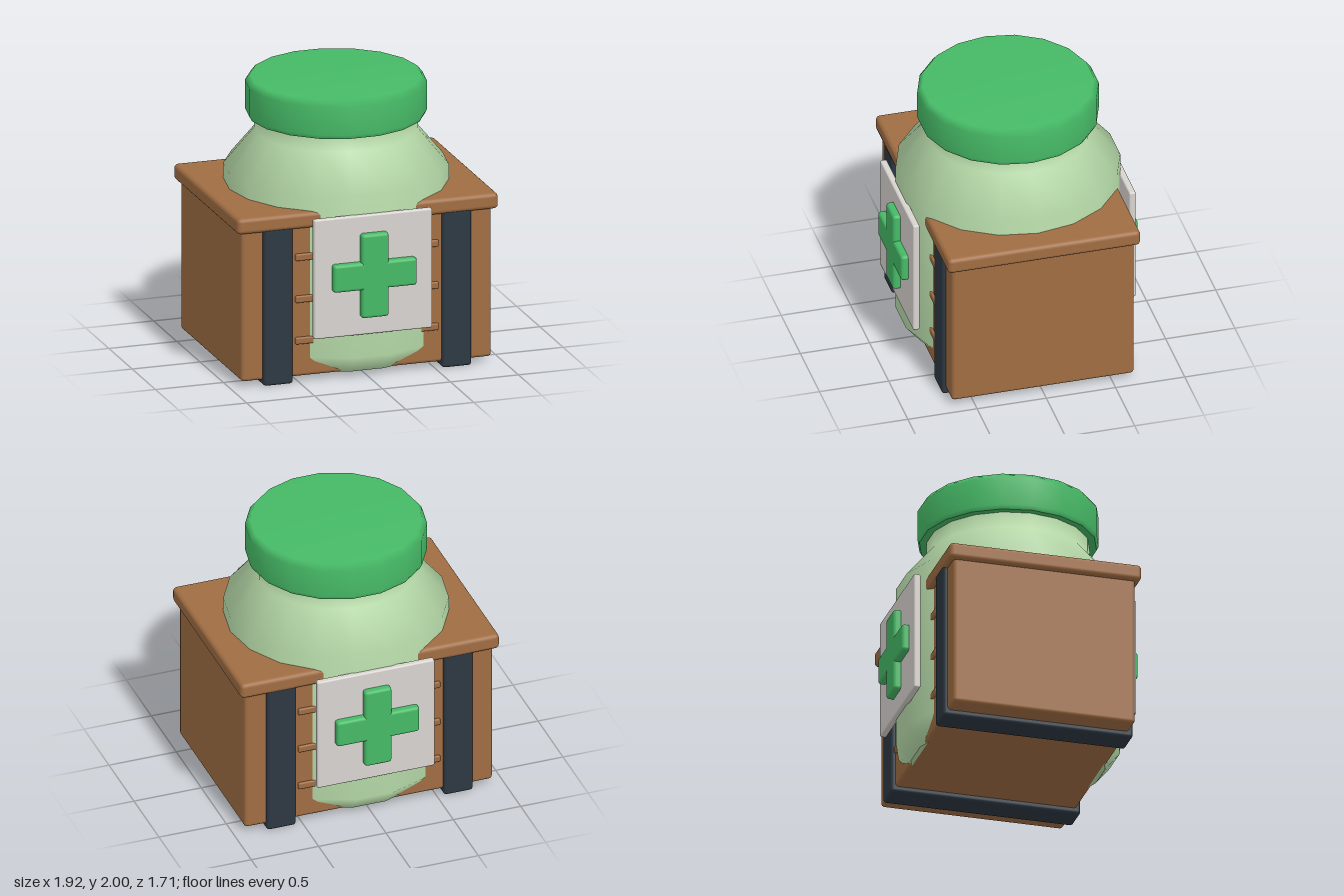
import * as THREE from 'three';
import { RoundedBoxGeometry } from 'three/addons/geometries/RoundedBoxGeometry.js';

const mat = (name, color) => {
  const m = new THREE.MeshStandardMaterial({ color });
  m.name = name;
  return m;
};

export function createModel() {
  const wood = mat('brown wood', 0xa06d42);
  const strapDark = mat('dark strap', 0x2d3843);
  const green = mat('green', 0x46ba66);
  const glass = mat('pale green', 0xb8dcaa);
  const plateWhite = mat('off white', 0xd8d4d0);

  const model = new THREE.Group();
  model.name = 'crateWithJar';

  // Rounded box given by its min and max corners
  const block = (name, material, [x0, y0, z0], [x1, y1, z1], radius, parent = model) => {
    const mesh = new THREE.Mesh(
      new RoundedBoxGeometry(x1 - x0, y1 - y0, z1 - z0, 2, radius), material);
    mesh.position.set((x0 + x1) / 2, (y0 + y1) / 2, (z0 + z1) / 2);
    mesh.name = name;
    parent.add(mesh);
  };

  // 18-sided turned part; a repeated point keeps an edge sharp
  const turned = (name, material, profile) => {
    const points = profile.map(([r, y]) => new THREE.Vector2(r, y));
    const mesh = new THREE.Mesh(new THREE.LatheGeometry(points, 18, Math.PI / 2), material);
    mesh.name = name;
    model.add(mesh);
  };

  // Crate and its rim
  block('crateBody', wood, [-0.92, 0.04, -0.658], [0.92, 1.2, 0.658], 0.025);
  block('crateRim', wood, [-0.96, 1.125, -0.695], [0.96, 1.24, 0.695], 0.03);

  // Straps wrapping front, bottom and back
  for (const s of [-1, 1]) {
    block('strap', strapDark, [s * 0.657 - 0.108, 0, -0.687], [s * 0.657 + 0.108, 1.18, 0.687], 0.022);
  }

  // Thin slats either side of the jar
  for (const y of [0.303, 0.606, 0.912]) {
    block('slat', wood, [-0.527, y - 0.025, -0.676], [0.527, y + 0.025, 0.676], 0.01);
  }

  // Jar body, shoulder and neck
  turned('jar', glass, [
    [0, 0.041], [0.68, 0.041], [0.68, 0.041], [0.785, 0.17], [0.785, 1.35], [0.57, 1.61], [0.57, 1.76],
  ]);

  // Lid with bevelled edges
  turned('lid', green, [
    [0.5, 1.72], [0.62, 1.72], [0.62, 1.72], [0.635, 1.75], [0.635, 1.955], [0.6, 2], [0, 2],
  ]);

  // Label plate with raised cross, front and back
  for (const angle of [0, Math.PI]) {
    const label = new THREE.Group();
    label.name = angle ? 'backLabel' : 'frontLabel';
    label.rotation.y = angle;
    block('labelPlate', plateWhite, [-0.435, 0.345, 0.757], [0.435, 1.215, 0.805], 0.012, label);
    block('crossUpright', green, [-0.1, 0.477, 0.78], [0.1, 1.087, 0.857], 0.022, label);
    block('crossBar', green, [-0.307, 0.683, 0.78], [0.307, 0.882, 0.856], 0.022, label);
    model.add(label);
  }

  return model;
}
